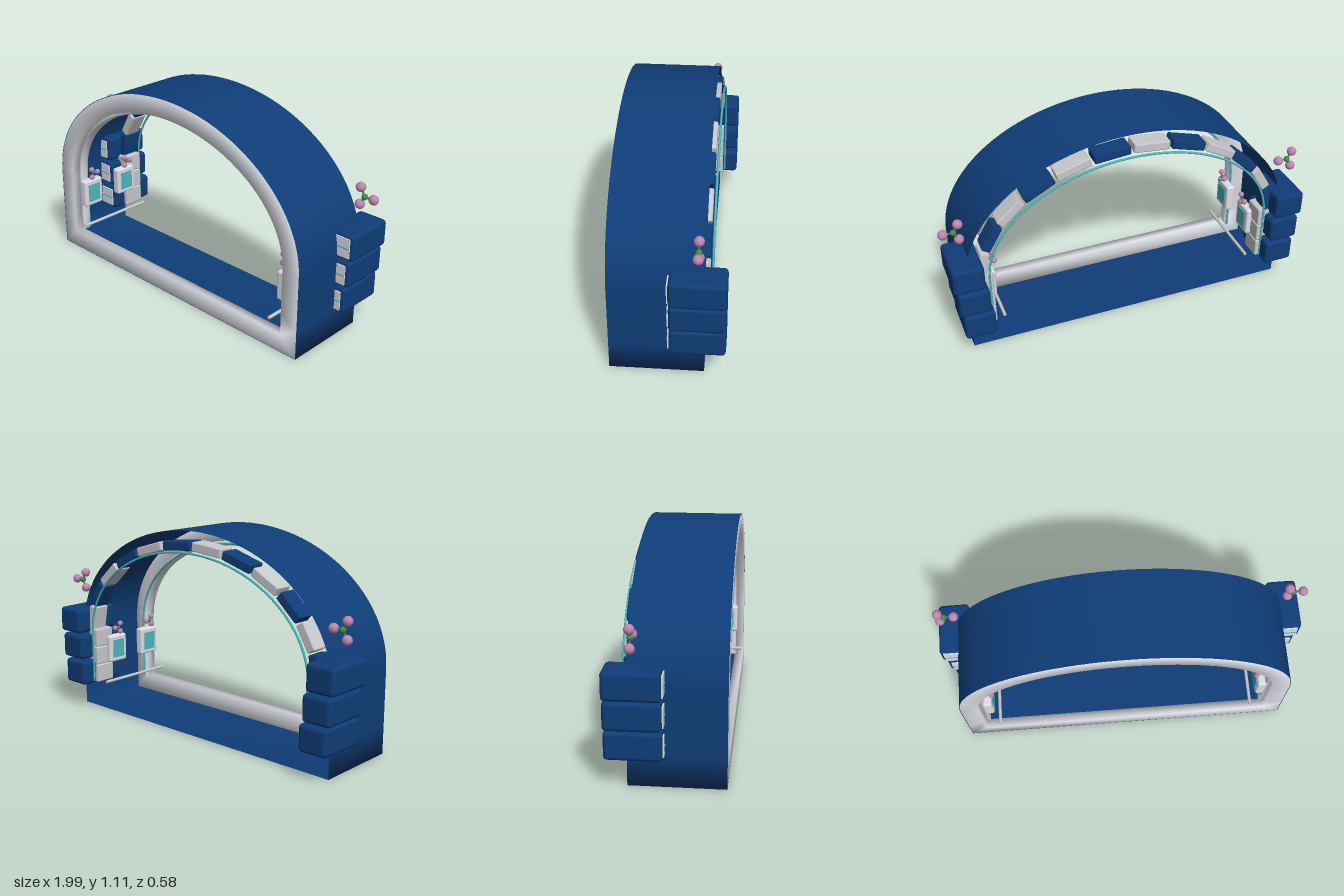
import * as THREE from 'three';
import { RoundedBoxGeometry } from 'three/addons/geometries/RoundedBoxGeometry.js';

const CX = -0.015, RX = 0.895, TOP = 1.113, SPRING = 0.46;
const BACK = -0.18, FRONT = 0.29;

function mat(name, color, side = THREE.FrontSide) {
  const m = new THREE.MeshStandardMaterial({ color, side });
  m.name = name;
  return m;
}

// Arch outline inset by d, running up the +x side, over the top and down the -x side
function outline(d, y0 = d) {
  const pts = [];
  const rx = RX - d, ry = TOP - SPRING - d;
  for (let i = 0; i < 3; i++) pts.push(new THREE.Vector2(rx, y0 + (SPRING - y0) * i / 3));
  for (let i = 0; i <= 48; i++) {
    const t = Math.PI * i / 48;
    pts.push(new THREE.Vector2(rx * Math.cos(t), SPRING + ry * Math.sin(t)));
  }
  for (let i = 2; i >= 0; i--) pts.push(new THREE.Vector2(-rx, y0 + (SPRING - y0) * i / 3));
  return pts;
}

// Surface through a cross-section of [inset, z] pairs swept along the outline
function sweep(profile, { closedProfile = true, closedLoop = true, y0 } = {}) {
  const rows = profile.map(([d]) => outline(d, y0));
  const n = rows[0].length, m = profile.length;
  const pos = [], idx = [];
  rows.forEach((row, j) => row.forEach(p => pos.push(p.x, p.y, profile[j][1])));
  for (let j = 0; j < (closedProfile ? m : m - 1); j++) {
    for (let i = 0; i < (closedLoop ? n : n - 1); i++) {
      const k = (i + 1) % n, l = (j + 1) % m;
      const a = j * n + i, b = j * n + k, c = l * n + i, e = l * n + k;
      idx.push(a, b, c, b, e, c);
    }
  }
  const g = new THREE.BufferGeometry();
  g.setAttribute('position', new THREE.Float32BufferAttribute(pos, 3));
  g.setIndex(idx);
  g.computeVertexNormals();
  return g;
}

function archTube(d, z, r, y0) {
  const pts = outline(d, y0).map(p => new THREE.Vector3(p.x, p.y, z));
  return new THREE.TubeGeometry(new THREE.CatmullRomCurve3(pts), 120, r, 6, false);
}

export function createModel() {
  const blue = mat('navy blue', 0x0f3d78);
  const shellBlue = mat('navy shell', 0x0f3d78, THREE.DoubleSide);
  const white = mat('soft white', 0xdcdfe6);
  const grey = mat('light grey', 0xc8c9cc);
  const teal = mat('teal', 0x4fb8c0);
  const pink = mat('pink', 0xc088b0);
  const green = mat('green', 0x4a8a4c);

  const model = new THREE.Group();
  model.name = 'archway';
  const body = new THREE.Group();
  body.name = 'archBody';
  body.position.x = CX;
  model.add(body);

  function add(name, geo, material, x = 0, y = 0, z = 0, parent = body) {
    const mesh = new THREE.Mesh(geo, material);
    mesh.name = name;
    mesh.position.set(x, y, z);
    parent.add(mesh);
    return mesh;
  }
  const box = (w, h, d) => new THREE.BoxGeometry(w, h, d);

  // Thin shell, front rim and inner trims
  add('shell', sweep([[0, BACK], [0, FRONT]], { closedProfile: false }), shellBlue);
  add('frontRim', sweep([[0.003, 0.24], [0.003, FRONT], [0.1, FRONT], [0.1, 0.24]]), white);
  add('innerTrim', sweep([[0.098, 0.2], [0.098, 0.245], [0.12, 0.245], [0.12, 0.2]],
    { closedLoop: false, y0: 0.1 }), white);
  add('frontLightStrip', archTube(0.11, 0.195, 0.006, 0.1), teal);
  add('backLightStrip', archTube(0.112, -0.21, 0.006, 0.16), teal);

  // Alternating panels around the back of the arch
  const prx = RX - 0.075, pry = TOP - SPRING - 0.075;
  for (let i = 0; i < 12; i++) {
    const at = t => new THREE.Vector2(prx * Math.cos(t), SPRING + pry * Math.sin(t));
    const a = at(Math.PI * i / 12), b = at(Math.PI * (i + 1) / 12);
    const dir = b.clone().sub(a);
    const panel = add('archPanel', new RoundedBoxGeometry(dir.length() * 0.92, 0.05, 0.1, 1, 0.008),
      i % 2 === 0 ? grey : blue, (a.x + b.x) / 2, (a.y + b.y) / 2, -0.15);
    panel.rotation.z = dir.angle();
  }

  // Three blossoms around a green heart, in the local xy plane
  function flower(name, radius, ball) {
    const g = new THREE.Group();
    g.name = name;
    add('flowerHeart', new THREE.IcosahedronGeometry(ball * 0.65, 1), green, 0, 0, 0, g);
    for (let k = 0; k < 3; k++) {
      const t = k * Math.PI * 2 / 3;
      const c = Math.cos(t), s = Math.sin(t);
      add('blossom', new THREE.IcosahedronGeometry(ball, 1), pink, radius * c, radius * s, 0, g);
      const stem = add('stem', new THREE.CylinderGeometry(ball * 0.2, ball * 0.2, radius, 5),
        green, radius * c / 2, radius * s / 2, 0, g);
      stem.rotation.z = t - Math.PI / 2;
    }
    body.add(g);
    return g;
  }

  for (const s of [1, -1]) {
    // Stacked outer pods with a lit front plate
    for (let k = 0; k < 3; k++) {
      const x = s * (0.865 + 0.018 * k), y = 0.215 + 0.152 * k;
      add('sidePod', new RoundedBoxGeometry(0.165, 0.142, 0.277, 2, 0.02), blue, x, y, -0.147);
      add('podPlate', box(0.125, 0.105, 0.008), white, x, y, -0.006);
      add('podLight', box(0.125, 0.006, 0.004), teal, x, y, -0.001);
    }

    // Inner column of three blocks at the back
    for (let k = 0; k < 3; k++) {
      add('columnBlock', new RoundedBoxGeometry(0.07, 0.104, 0.12, 1, 0.008), grey,
        s * 0.795, 0.203 + 0.107 * k, -0.14);
    }

    // Wall consoles with screens and small flowers
    for (const z of [0.19, -0.06]) {
      add('console', new RoundedBoxGeometry(0.05, 0.16, 0.13, 2, 0.012), white, s * 0.757, 0.34, z);
      add('screen', box(0.006, 0.105, 0.08), teal, s * 0.731, 0.34, z);
      const f = flower('consoleFlower', 0.027, 0.016);
      f.position.set(s * 0.728, 0.465, z);
      f.rotation.y = Math.PI / 2;
    }

    // Low handrail running front to back
    const rail = add('handrail', new THREE.CylinderGeometry(0.009, 0.009, 0.46, 8), grey, s * 0.715, 0.157, 0.055);
    rail.rotation.x = Math.PI / 2;

    // Flower above the pods
    flower('sideFlower', 0.052, 0.026).position.set(s * 0.93, 0.74, -0.15);
  }
  return model;
}
